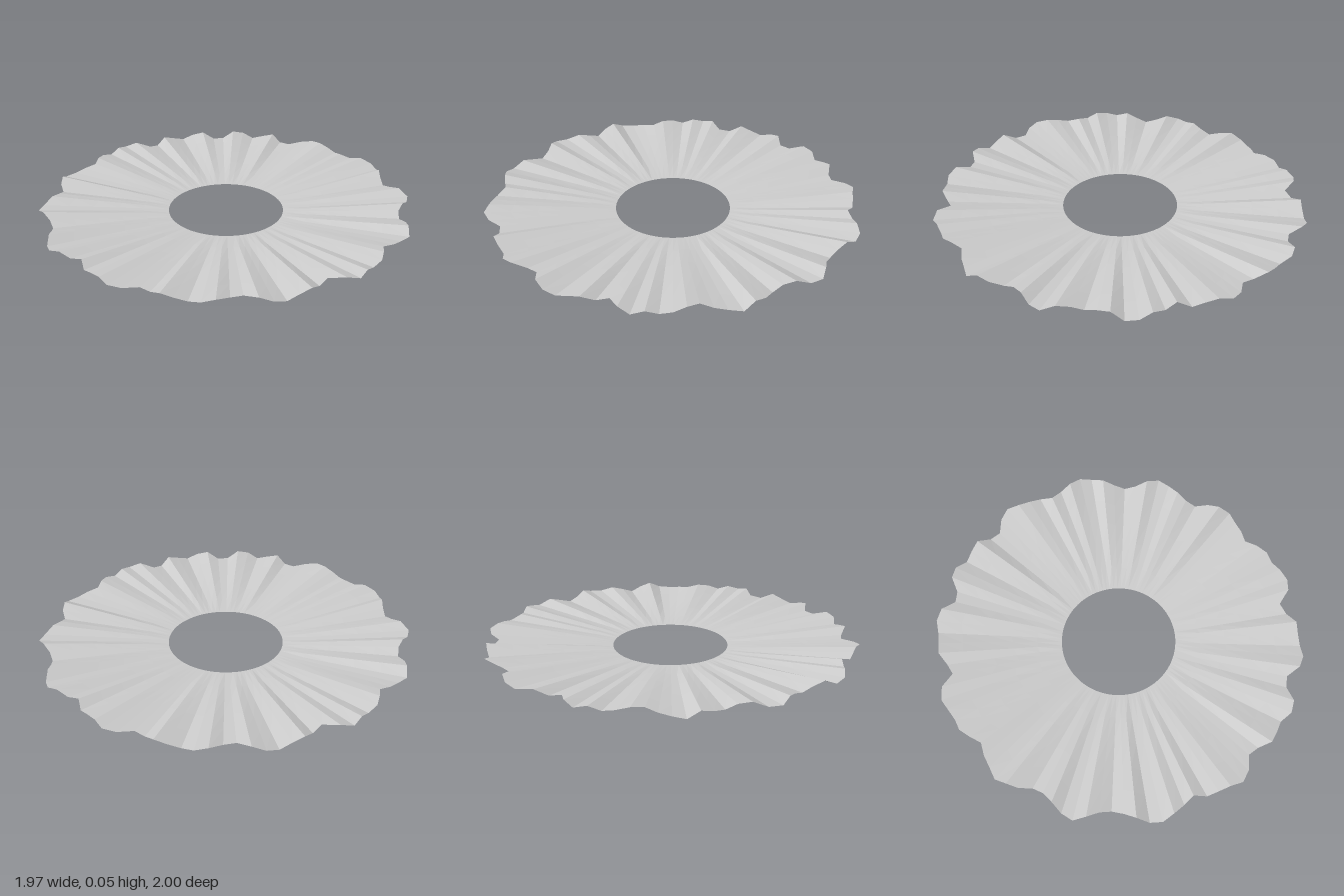
import * as THREE from 'three';

const SEGMENTS = 96, RINGS = 5, HOLE = 0.31;

// Rim radius over half a turn, clockwise from the back (repeats twice)
const rimRadius = [
  0.985, 1.0, 0.983, 0.925, 0.935, 0.99, 1.0, 0.97, 0.977, 0.982, 0.943, 0.93,
  0.985, 1.01, 0.988, 0.976, 0.967, 0.935, 0.96, 0.985, 1.01, 1.0, 0.971, 0.945,
  0.931, 0.942, 0.975, 1.005, 0.985, 0.95, 0.925, 0.925, 0.962, 0.98, 0.997, 0.97,
  0.95, 0.92, 0.95, 0.976, 0.972, 0.984, 1.0, 0.977, 0.91, 0.933, 0.972, 0.975,
];

// Rim height of the pleats over a quarter turn (repeats four times)
const rimHeight = [
  0.018, 0.035, 0.053, 0.032, 0.03, 0.053, 0.042, 0.022, 0.038, 0.054, 0.024, 0.026,
  0.034, 0.044, 0.053, 0.044, 0.03, 0.05, 0.036, 0.053, 0.036, 0.024, 0.053, 0.036,
];

export function createModel() {
  const group = new THREE.Group();
  group.name = 'pleatedRuffle';

  // Flat ring whose spokes run from the round hole to the ruffled rim
  const ring = new THREE.RingGeometry(HOLE, 1, SEGMENTS, RINGS);
  const pos = ring.attributes.position;
  for (let j = 0; j <= RINGS; j++) {
    const t = j / RINGS;
    for (let i = 0; i <= SEGMENTS; i++) {
      const k = (SEGMENTS - i) % SEGMENTS;
      const angle = (k / SEGMENTS) * Math.PI * 2;
      const r = THREE.MathUtils.lerp(HOLE, rimRadius[k % rimRadius.length], t);
      const y = rimHeight[k % rimHeight.length] * t;
      pos.setXYZ(j * (SEGMENTS + 1) + i, r * Math.sin(angle), y, -r * Math.cos(angle));
    }
  }
  const geometry = ring.toNonIndexed();
  geometry.computeVertexNormals();

  const material = new THREE.MeshStandardMaterial({
    color: 0xcccccc, flatShading: true, side: THREE.DoubleSide,
  });
  const ruffle = new THREE.Mesh(geometry, material);
  ruffle.name = 'ruffledRing';
  group.add(ruffle);
  return group;
}
